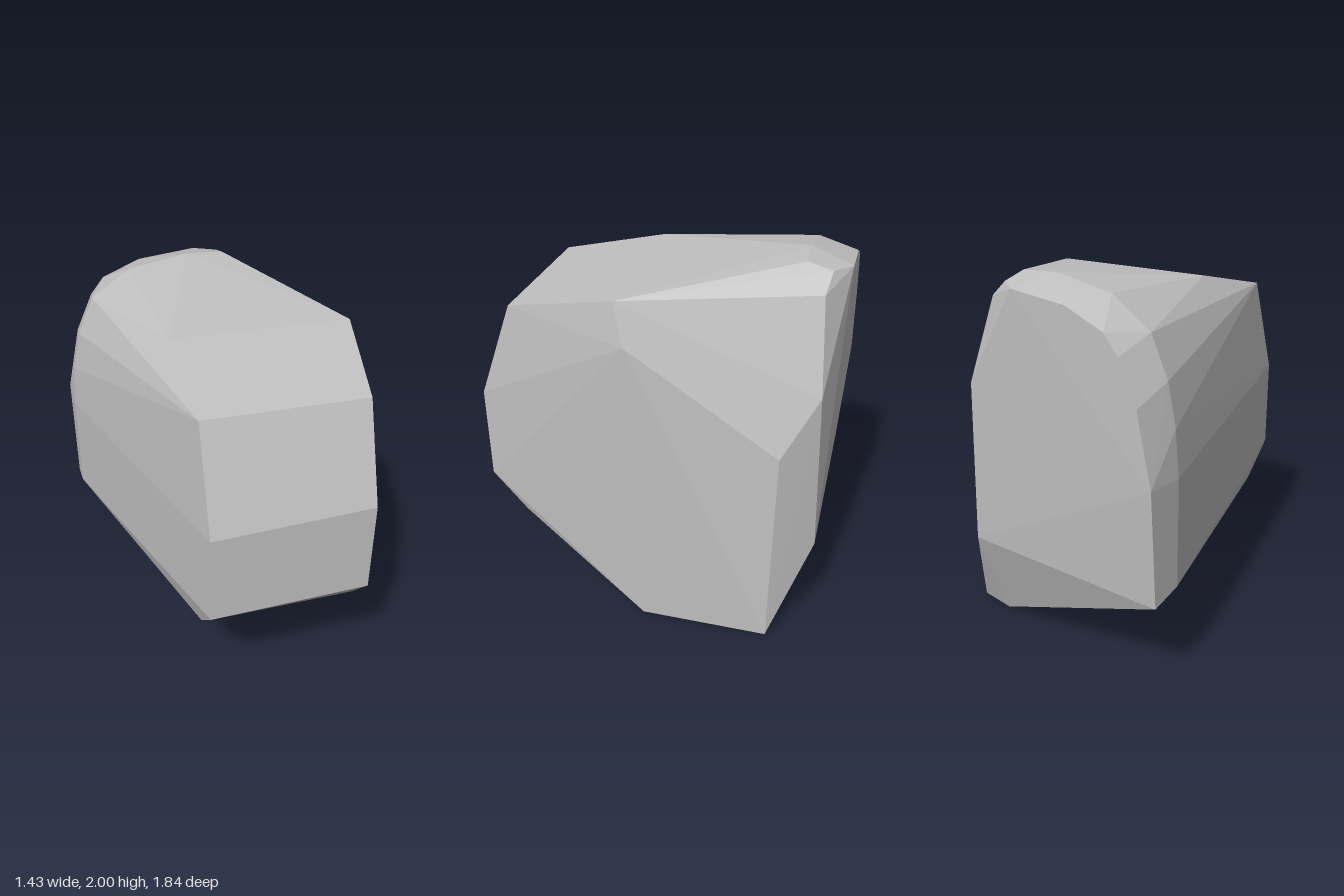
import * as THREE from 'three';
import { ConvexGeometry } from 'three/addons/geometries/ConvexGeometry.js';

// A faceted boulder: the convex skin around a few cross-sections.
export function createModel() {
  const stone = new THREE.MeshStandardMaterial({ color: 0xc0c0c0 });
  stone.name = 'stone grey';

  // blunt front face with its chamfers, running back to the shoulder
  const front = [
    [-0.29, 0.52, 0.72], [0.57, 0.52, 0.72],
    [-0.29, 0.71, 0.92], [0.56, 0.73, 0.91],
    [-0.29, 1.21, 0.92], [0.56, 1.24, 0.91],
    [-0.29, 1.76, 0.72], [0.56, 1.755, 0.72],
    [-0.29, 1.89, 0.14], [0.67, 1.885, 0.14],
    [0.715, 1.67, 0.08],
  ];

  // small foot the rock stands on
  const foot = [
    [0.45, 0.005, 0.02], [0.675, 0.005, 0.02],
    [0.675, 0, -0.67], [0.46, 0, -0.7],
  ];

  // rounded crest, as an arc in the xy plane
  const crest = [
    [-0.72, 0.55], [-0.72, 1.12], [-0.7, 1.36], [-0.655, 1.58],
    [-0.56, 1.79], [-0.34, 1.94], [0, 2], [0.21, 1.99],
  ].map(([x, y]) => [x, y, -0.7]);

  // slightly smaller arc around the back
  const backArc = [
    [-0.72, 1.13], [-0.64, 1.5], [-0.54, 1.72],
    [-0.46, 1.82], [-0.24, 1.91], [0.09, 1.945],
  ].map(([x, y]) => [x, y, -0.918]);

  // lower back corners and the bevelled back edge
  const backEdge = [
    [-0.72, 0.51, -0.88], [0.48, 0.52, -0.88], [0.48, 1.4, -0.85],
    [0.63, 1.11, -0.68], [0.32, 1.87, -0.81], [0.21, 1.955, -0.83],
  ];

  const points = [...front, ...foot, ...crest, ...backArc, ...backEdge]
    .map((p) => new THREE.Vector3(...p));

  const rock = new THREE.Mesh(new ConvexGeometry(points), stone);
  rock.name = 'rock';

  const group = new THREE.Group();
  group.name = 'boulder';
  group.add(rock);
  return group;
}
